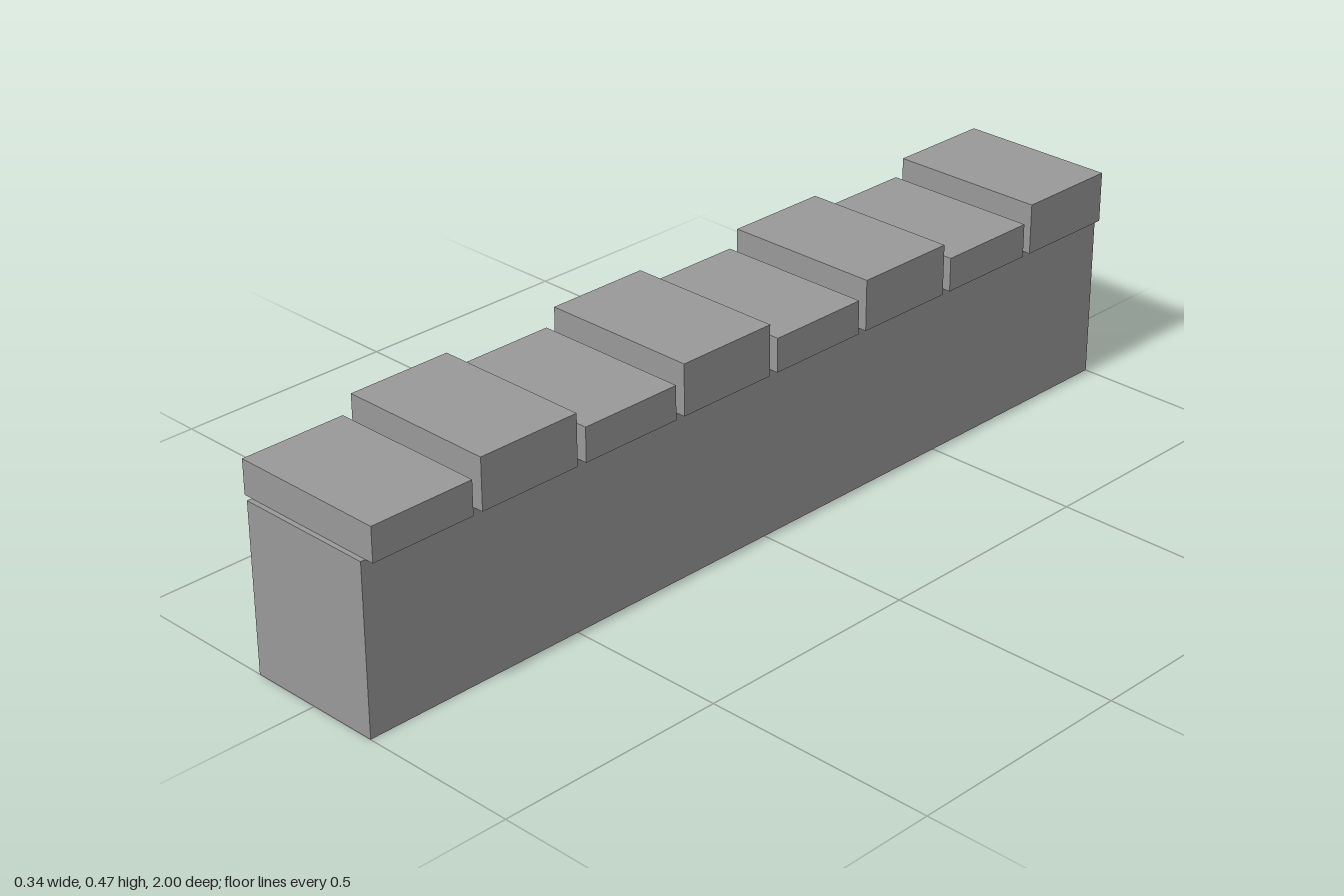
import * as THREE from 'three';

const BODY = { width: 0.306, height: 0.358, length: 2 };
const CAP = { width: 0.345, length: 0.229, pitch: 0.25, count: 8 };

// Box without its underside (faces run +x, -x, +y, -y, +z, -z, six indices each)
function openBottomBox(w, h, d) {
  const geometry = new THREE.BoxGeometry(w, h, d);
  const index = Array.from(geometry.index.array);
  index.splice(18, 6);
  geometry.setIndex(index);
  geometry.clearGroups();
  return geometry;
}

export function createModel() {
  const stone = new THREE.MeshStandardMaterial({ color: 0x999999, side: THREE.DoubleSide });
  stone.name = 'grey stone';

  const model = new THREE.Group();
  model.name = 'wall';

  // Long hollow wall body, open underneath
  const body = new THREE.Mesh(openBottomBox(BODY.width, BODY.height, BODY.length), stone);
  body.name = 'wallBody';
  body.position.y = BODY.height / 2;
  model.add(body);

  // Row of coping blocks, alternately low and high, starting low at the front
  const coping = new THREE.Group();
  coping.name = 'copingBlocks';
  for (let i = 0; i < CAP.count; i++) {
    const height = i % 2 ? 0.108 : 0.072;
    const block = new THREE.Mesh(new THREE.BoxGeometry(CAP.width, height, CAP.length), stone);
    block.name = i % 2 ? 'highCopingBlock' : 'lowCopingBlock';
    block.position.set(0, BODY.height + height / 2, 0.875 - i * CAP.pitch);
    coping.add(block);
  }
  model.add(coping);

  return model;
}
